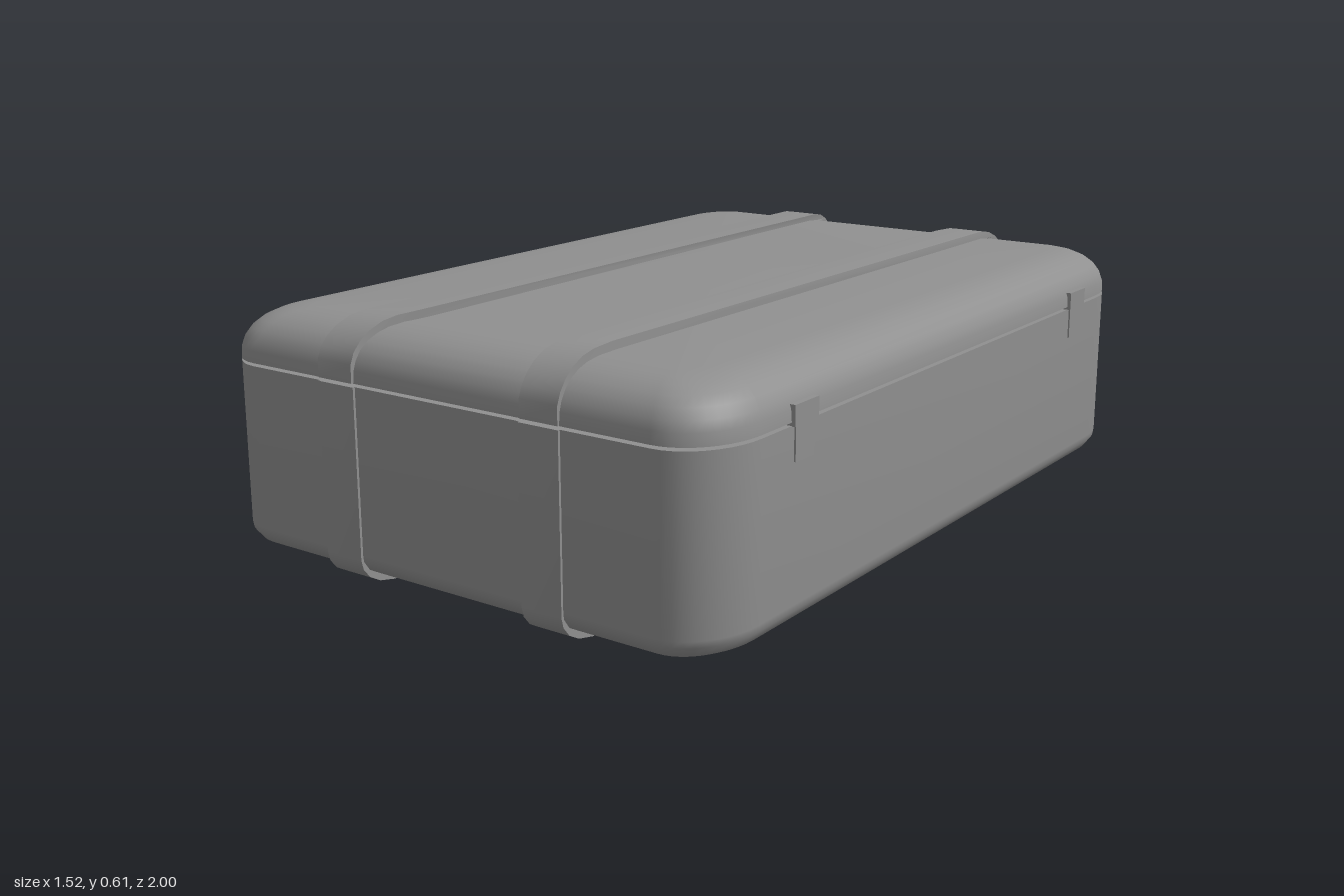
import * as THREE from 'three';
import { toCreasedNormals } from 'three/addons/utils/BufferGeometryUtils.js';

const CX = 0.0625, HX = 0.6865, HZ = 0.993; // case centre and half sizes
const RX = 0.135, RZ = 0.175;               // elliptical corner radii
const STEPS = 10;

// Closed shell lofted from rounded rectangles; levels are [y, inset], bottom to top
function shell(levels) {
  const pos = [], idx = [], n = 4 * (STEPS + 1);
  const signs = [[1, 1], [-1, 1], [-1, -1], [1, -1]];
  for (const [y, inset] of levels) {
    const rx = Math.max(RX - inset * 0.6, 0.04), rz = Math.max(RZ - inset * 0.6, 0.05);
    signs.forEach(([sx, sz], q) => {
      for (let k = 0; k <= STEPS; k++) {
        const t = (q + k / STEPS) * Math.PI / 2;
        pos.push(
          CX + sx * (HX - inset - rx) + rx * Math.cos(t), y,
          sz * (HZ - inset - rz) + rz * Math.sin(t));
      }
    });
  }
  const last = levels.length - 1;
  for (let i = 0; i < last; i++) {
    for (let j = 0; j < n; j++) {
      const a = i * n + j, b = i * n + (j + 1) % n;
      idx.push(a, a + n, b, b, a + n, b + n);
    }
  }
  const bottom = pos.length / 3;
  pos.push(CX, levels[0][0], 0, CX, levels[last][0], 0);
  for (let j = 0; j < n; j++) {
    const k = (j + 1) % n;
    idx.push(bottom, j, k, bottom + 1, last * n + k, last * n + j);
  }
  const geo = new THREE.BufferGeometry();
  geo.setAttribute('position', new THREE.Float32BufferAttribute(pos, 3));
  geo.setIndex(idx);
  return toCreasedNormals(geo, 0.7);
}

// Strap band: half profile [z, y] mirrored in z, with a thickness, swept across x
function band(profile, x0, x1, thick, inward, flare) {
  const mirror = (p) => [...p, ...[...p].reverse().map(([z, y]) => [-z, y])];
  const outer = mirror(profile);
  const inner = mirror(profile.map(([z, y]) => [z - thick, y + (y === profile[0][1] ? 0 : inward * thick)]));
  const pts = [...outer, ...inner.reverse()].map(([z, y]) => new THREE.Vector2(z, y));
  const geo = new THREE.ExtrudeGeometry(new THREE.Shape(pts), { depth: x1 - x0, bevelEnabled: false });
  geo.rotateY(Math.PI / 2);
  geo.translate(x0, 0, 0);
  const p = geo.attributes.position;
  for (let i = 0; i < p.count; i++) {
    const t = THREE.MathUtils.clamp((Math.abs(p.getZ(i)) - 0.8) / 0.19, 0, 1);
    p.setX(i, p.getX(i) + flare * t);
  }
  return toCreasedNormals(geo, 0.6);
}

export function createModel() {
  const group = new THREE.Group();
  const grey = new THREE.MeshStandardMaterial({ color: 0x909090 });
  grey.name = 'grey';
  const add = (name, geo) => {
    const mesh = new THREE.Mesh(geo, grey);
    mesh.name = name;
    group.add(mesh);
    return mesh;
  };

  // Case halves, with a fine gap between them
  add('base', shell([[0.02, 0.1], [0.023, 0.075], [0.032, 0.045], [0.047, 0.018], [0.07, 0.002], [0.085, 0], [0.466, 0]]));
  add('lid', shell([[0.473, 0], [0.5, 0.002], [0.522, 0.009], [0.543, 0.023], [0.56, 0.043], [0.573, 0.07], [0.581, 0.1], [0.585, 0.14]]));

  // Two straps round the case, split at the seam
  const lidPath = [[0.999, 0.474], [0.998, 0.515], [0.988, 0.54], [0.97, 0.562], [0.945, 0.581], [0.91, 0.596], [0.87, 0.603], [0.8, 0.605]];
  const basePath = [[0.999, 0.466], [0.999, 0.075], [0.993, 0.052], [0.975, 0.03], [0.945, 0.013], [0.9, 0.003], [0.85, 0]];
  for (const [x0, x1, b0, b1, flare] of [[-0.25, -0.15, -0.275, -0.17, -0.024], [0.28, 0.378, 0.29, 0.395, 0.016]]) {
    add('lidStrap', band(lidPath, x0, x1, 0.03, -1, flare));
    add('baseStrap', band(basePath, b0, b1, 0.03, 1, 0));
  }

  // Latches on the +x side: thin plate with a thicker clasp on the lid
  for (const z of [-0.675, 0.665]) {
    add('latchPlate', new THREE.BoxGeometry(0.012, 0.08, 0.07)).position.set(0.747, 0.43, z);
    add('latchClasp', new THREE.BoxGeometry(0.02, 0.045, 0.09)).position.set(0.747, 0.4875, z);
  }

  // Hinge plates with a rounded lower end on the handle side
  const tab = new THREE.Shape();
  tab.moveTo(0.036, 0.505);
  tab.lineTo(-0.036, 0.505);
  tab.lineTo(-0.036, 0.41);
  tab.absarc(0, 0.41, 0.036, Math.PI, Math.PI * 2, false);
  for (const z of [-0.615, 0.583]) {
    const geo = new THREE.ExtrudeGeometry(tab, { depth: 0.015, bevelEnabled: false, curveSegments: 8 });
    geo.rotateY(-Math.PI / 2);
    add('sideClasp', toCreasedNormals(geo, 0.6)).position.set(-0.616, 0, z);
  }

  // Carrying handle
  const path = [new THREE.Vector3(-0.6, 0.337, -0.225)];
  const r = 0.095;
  for (const s of [-1, 1]) {
    for (let k = 0; k <= 6; k++) {
      const t = (s < 0 ? k : 6 - k) / 6 * Math.PI / 2;
      path.push(new THREE.Vector3(-0.738 + r - r * Math.sin(t), 0.337, -0.015 + s * (0.21 - r + r * Math.cos(t))));
    }
  }
  path.push(new THREE.Vector3(-0.6, 0.337, 0.195));
  add('handle', new THREE.TubeGeometry(new THREE.CatmullRomCurve3(path, false, 'centripetal'), 48, 0.025, 14, false));

  return group;
}
